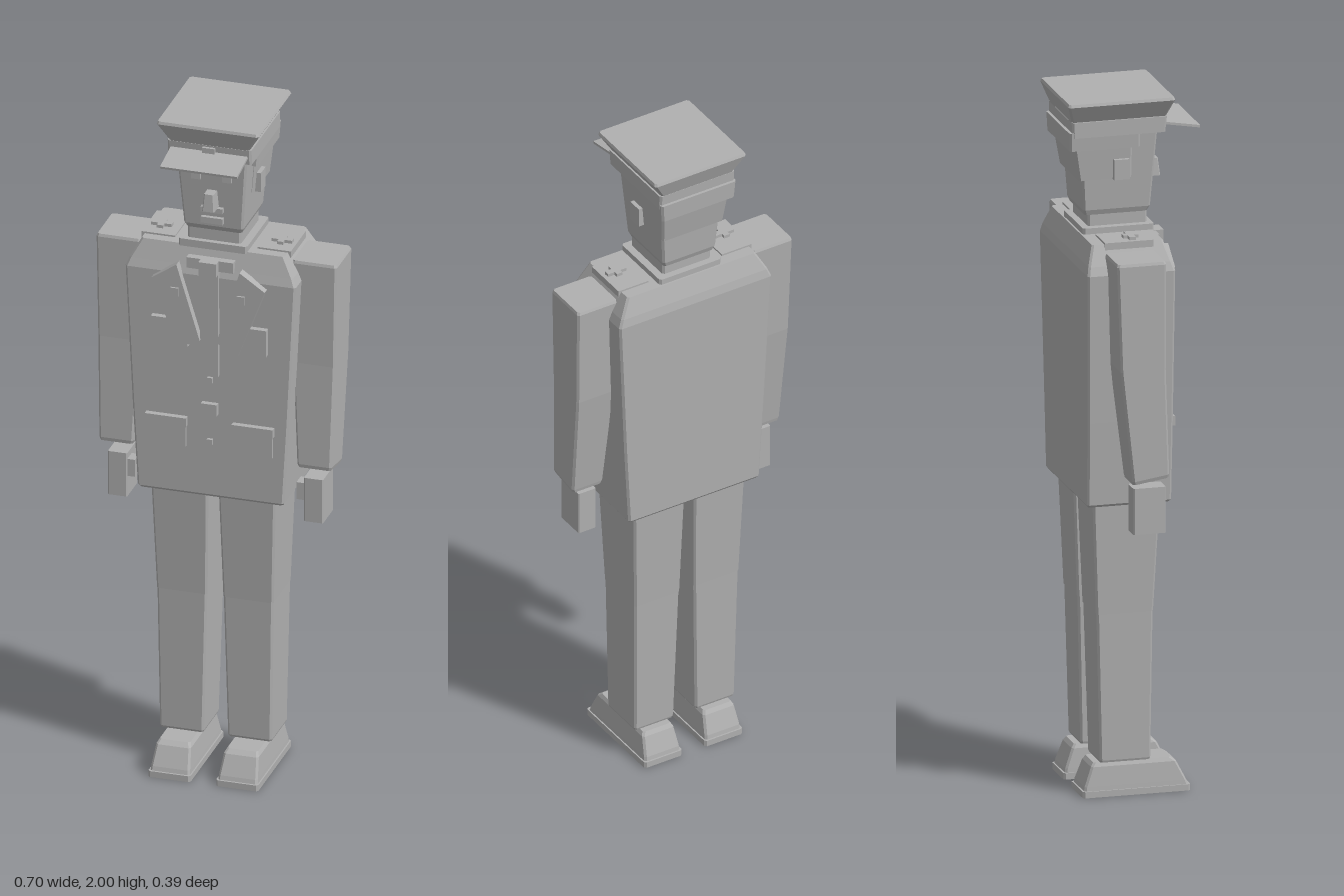
import * as THREE from 'three';

// Box-like body from rising rectangular sections [y, x0, x1, z0, z1] with chamfered corners
function loft(sections, c = 0.006) {
  const rings = sections.map(([y, x0, x1, z0, z1]) => [
    [x1 - c, y, z1], [x1, y, z1 - c], [x1, y, z0 + c], [x1 - c, y, z0],
    [x0 + c, y, z0], [x0, y, z0 + c], [x0, y, z1 - c], [x0 + c, y, z1]]);
  const pos = [];
  const tri = (...pts) => pts.forEach(p => pos.push(...p));
  for (let i = 0; i + 1 < rings.length; i++) {
    const lo = rings[i], hi = rings[i + 1];
    for (let j = 0; j < 8; j++) {
      const k = (j + 1) % 8;
      tri(lo[j], lo[k], hi[k]);
      tri(lo[j], hi[k], hi[j]);
    }
  }
  const bottom = rings[0], top = rings[rings.length - 1];
  for (let j = 1; j < 7; j++) {
    tri(bottom[0], bottom[j + 1], bottom[j]);
    tri(top[0], top[j], top[j + 1]);
  }
  const g = new THREE.BufferGeometry();
  g.setAttribute('position', new THREE.Float32BufferAttribute(pos, 3));
  g.computeVertexNormals();
  return g;
}

export function createModel() {
  const root = new THREE.Group();
  root.name = 'uniformedFigure';
  const grey = new THREE.MeshStandardMaterial({ color: 0xb0b0b0 });
  grey.name = 'plain grey';

  const add = (name, geometry) => {
    const m = new THREE.Mesh(geometry, grey);
    m.name = name;
    root.add(m);
    return m;
  };
  const body = (name, sections, c) => add(name, loft(sections, c));
  const box = (name, x0, x1, y0, y1, z0, z1) => {
    const m = add(name, new THREE.BoxGeometry(Math.abs(x1 - x0), y1 - y0, z1 - z0));
    m.position.set((x0 + x1) / 2, (y0 + y1) / 2, (z0 + z1) / 2);
    return m;
  };
  // Section on one side of the body: near and far x are mirrored by s
  const on = (s, y, near, far, z0, z1) =>
    [y, Math.min(s * near, s * far), Math.max(s * near, s * far), z0, z1];

  // Flat outline on the front of the coat
  const plate = (name, pts, z, depth) => {
    const shape = new THREE.Shape(pts.map(p => new THREE.Vector2(...p)));
    const m = add(name, new THREE.ExtrudeGeometry(shape, { depth, bevelEnabled: false }));
    m.position.z = z;
  };

  // Coat
  body('coatSkirt', [[0.853, -0.208, 0.208, -0.155, 0.078], [0.86, -0.213, 0.213, -0.16, 0.083],
    [1.1, -0.227, 0.227, -0.162, 0.084]]);
  body('coatChest', [[1.1, -0.227, 0.227, -0.162, 0.084], [1.53, -0.248, 0.248, -0.168, 0.085],
    [1.555, -0.238, 0.238, -0.163, 0.077], [1.61, -0.208, 0.208, -0.145, 0.06]]);

  // Neck and collar
  body('collar', [[1.605, -0.1, 0.1, -0.14, 0.065], [1.627, -0.1, 0.1, -0.14, 0.065]]);
  body('neck', [[1.62, -0.078, 0.078, -0.12, 0.05], [1.67, -0.078, 0.078, -0.12, 0.05]]);

  // Head
  body('head', [[1.66, -0.08, 0.08, -0.13, 0.05], [1.675, -0.086, 0.086, -0.135, 0.058],
    [1.91, -0.104, 0.104, -0.15, 0.075]]);
  body('backHair', [[1.765, -0.1, 0.1, -0.152, 0], [1.857, -0.108, 0.108, -0.167, 0]]);
  body('nose', [[1.74, -0.018, 0.018, 0.055, 0.106], [1.79, -0.014, 0.014, 0.06, 0.1]], 0.003);
  box('moustache', -0.032, 0.032, 1.723, 1.738, 0.06, 0.075);
  box('mouth', -0.032, 0.032, 1.688, 1.706, 0.055, 0.072);

  // Cap
  body('capBackBand', [[1.857, -0.118, 0.118, -0.183, 0.02], [1.91, -0.122, 0.122, -0.185, 0.02]]);
  body('capBand', [[1.895, -0.122, 0.122, -0.176, 0.092], [1.94, -0.122, 0.122, -0.178, 0.097]]);
  body('capCrown', [[1.937, -0.115, 0.115, -0.176, 0.095], [1.992, -0.149, 0.149, -0.195, 0.113],
    [2, -0.146, 0.146, -0.192, 0.11]]);
  box('capBadge', -0.018, 0.018, 1.912, 1.935, 0.09, 0.105);
  const visor = box('capVisor', -0.112, 0.112, 1.907, 1.914, 0.076, 0.194);
  visor.rotation.x = 0.17;

  // Shirt, tie and closures
  box('shirtCollar', -0.068, 0.068, 1.552, 1.584, 0.06, 0.09);
  box('tieKnot', -0.026, 0.026, 1.545, 1.585, 0.07, 0.113);
  box('tie', -0.026, 0.026, 1.23, 1.55, 0.08, 0.098);
  box('beltBuckle', -0.023, 0.023, 1.11, 1.145, 0.08, 0.1);
  for (const y of [1.215, 1.025]) box('button', -0.008, 0.008, y - 0.008, y + 0.008, 0.08, 0.093);

  for (const s of [1, -1]) {
    const mirror = pts => pts.map(([x, y]) => [s * x, y]);

    // Face details
    box('eye', s * 0.032, s * 0.058, 1.822, 1.842, 0.068, 0.077);
    box('eyebrow', s * 0.025, s * 0.065, 1.852, 1.86, 0.07, 0.078);
    box('ear', s * 0.088, s * 0.117, 1.765, 1.823, -0.055, -0.01);

    // Lapels and pockets
    plate('lapel', mirror([[0.165, 1.515], [0.092, 1.565], [0.024, 1.34], [0.088, 1.31]]), 0.08, 0.027);
    box('lapelBadge', s * 0.085, s * 0.108, 1.47, 1.495, 0.1, 0.113);
    plate('chestPocket', mirror([[0.168, 1.395], [0.085, 1.395], [0.06, 1.315], [0.168, 1.315]]), 0.08, 0.022);
    box('lowerPocket', s * 0.07, s * 0.182, 1, 1.085, 0.075, 0.094);
    box('pocketFlap', s * 0.066, s * 0.186, 1.065, 1.092, 0.075, 0.101);

    // Shoulder straps with a cross
    box('shoulderStrap', s * 0.12, s * 0.217, 1.595, 1.615, -0.11, 0.03);
    box('strapCrossBar', s * 0.145, s * 0.205, 1.61, 1.624, -0.036, -0.018);
    box('strapCrossPost', s * 0.166, s * 0.184, 1.61, 1.624, -0.048, -0.004);

    // Arm and hand
    body('upperArm', [on(s, 1.275, 0.223, 0.345, -0.1, 0.03), on(s, 1.58, 0.22, 0.35, -0.112, 0.03),
      on(s, 1.588, 0.222, 0.347, -0.109, 0.027)]);
    const forearm = loft([on(s, 0.945, 0.242, 0.335, -0.062, 0.04), on(s, 0.955, 0.238, 0.338, -0.064, 0.042),
      on(s, 1.275, 0.223, 0.345, -0.1, 0.03)]);
    // Tilt the cuff so that its front edge sits higher
    const p = forearm.attributes.position;
    for (let i = 0; i < p.count; i++) if (p.getY(i) < 1) p.setY(i, p.getY(i) + (p.getZ(i) + 0.06) * 0.15);
    forearm.computeVertexNormals();
    add('forearm', forearm);
    body('hand', [on(s, 0.795, 0.257, 0.313, -0.055, 0.038), on(s, 0.928, 0.257, 0.313, -0.055, 0.038)], 0.003);
    box('thumb', s * 0.235, s * 0.26, 0.858, 0.91, -0.005, 0.035);

    // Leg
    body('thigh', [on(s, 0.53, 0.023, 0.17, -0.122, 0.043), on(s, 0.865, 0.015, 0.181, -0.135, 0.06)]);
    body('shin', [on(s, 0.1, 0.037, 0.161, -0.107, 0.035), on(s, 0.106, 0.035, 0.163, -0.109, 0.037),
      on(s, 0.53, 0.024, 0.169, -0.12, 0.042)]);

    // Shoe
    body('sole', [on(s, 0, 0.037, 0.16, -0.157, 0.153), on(s, 0.018, 0.037, 0.16, -0.157, 0.153)]);
    body('shoe', [on(s, 0.018, 0.041, 0.156, -0.152, 0.147), on(s, 0.03, 0.042, 0.155, -0.15, 0.143),
      on(s, 0.085, 0.048, 0.149, -0.13, 0.115), on(s, 0.096, 0.054, 0.143, -0.122, 0.1)]);
  }
  return root;
}
